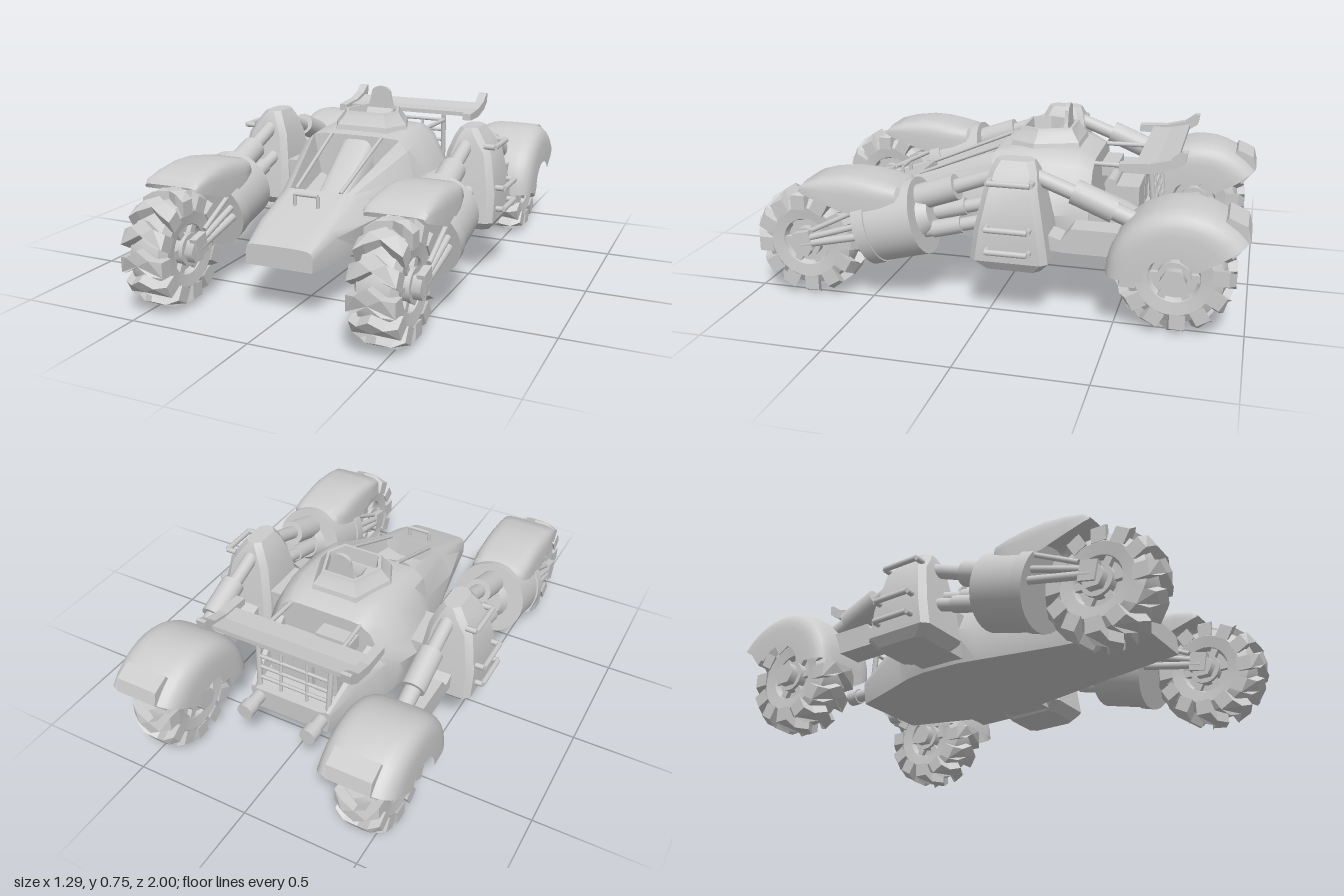
import * as THREE from 'three';
import { toCreasedNormals } from 'three/addons/utils/BufferGeometryUtils.js';

const mat = new THREE.MeshStandardMaterial({ color: 0xcccccc, side: THREE.DoubleSide });
const V = (x, y, z) => new THREE.Vector3(x, y, z);

function add(parent, name, geo) {
  const m = new THREE.Mesh(geo, mat);
  m.name = name;
  parent.add(m);
  return m;
}

function box(parent, name, w, h, d, x, y, z, rx = 0) {
  const m = add(parent, name, new THREE.BoxGeometry(w, h, d));
  m.position.set(x, y, z);
  m.rotation.x = rx;
  return m;
}

// Cylinder between two points
function rod(parent, name, a, b, r, r2 = r, seg = 14) {
  const p = V(...a), q = V(...b), dir = q.clone().sub(p);
  const m = add(parent, name, new THREE.CylinderGeometry(r2, r, dir.length(), seg));
  m.position.copy(p).add(q).multiplyScalar(0.5);
  m.quaternion.setFromUnitVectors(V(0, 1, 0), dir.normalize());
  return m;
}

// Bent grab bar: two legs and a bar offset from points a and b
function handle(parent, name, a, b, off, r) {
  const out = (p) => p.map((v, i) => v + off[i]);
  rod(parent, name, a, out(a), r, r, 8);
  rod(parent, name, b, out(b), r, r, 8);
  rod(parent, name, out(a), out(b), r, r, 8);
}

// Surface through rows of points; closed rows get end caps
function loft(rows, closed, crease) {
  const n = rows[0].length, idx = [], last = (rows.length - 1) * n;
  for (let i = 0; i < rows.length - 1; i++)
    for (let j = 0; j < (closed ? n : n - 1); j++) {
      const a = i * n + j, b = i * n + (j + 1) % n, c = a + n, d = b + n;
      idx.push(a, c, b, b, c, d);
    }
  if (closed)
    for (let j = 1; j < n - 1; j++) idx.push(0, j, j + 1, last, last + j + 1, last + j);
  const g = new THREE.BufferGeometry();
  g.setAttribute('position', new THREE.Float32BufferAttribute(rows.flat(2), 3));
  g.setIndex(idx);
  return toCreasedNormals(g, crease);
}

// Mirrored cross-section at z from its +x half, bottom to top
const section = (z, ...half) => [
  ...half.map(([x, y]) => [x, y, z]),
  ...half.slice().reverse().map(([x, y]) => [-x, y, z]),
];

// Side profile of [z, y] points extruded from x0 to x1
function sideExtrude(pts, x0, x1) {
  const shape = new THREE.Shape(pts.map(([z, y]) => new THREE.Vector2(-z, y)));
  const g = new THREE.ExtrudeGeometry(shape, { depth: x1 - x0, bevelEnabled: false });
  return g.rotateY(Math.PI / 2).translate(x0, 0, 0);
}

// Rounded arch of [across, up] pairs from +1 to -1; a smaller power is boxier
const arch = (power) => Array.from({ length: 17 }, (_, i) => {
  const a = (i / 16) * Math.PI, c = Math.cos(a);
  return [Math.sign(c) * Math.abs(c) ** power, Math.abs(Math.sin(a)) ** power];
});

// Chunky wheel with chevron lugs
function wheel(parent, name, x, y, z) {
  const g = new THREE.Group();
  g.name = name;
  g.position.set(x, y, z);
  parent.add(g);
  const profile = [[0.001, -0.05], [0.09, -0.05], [0.1, -0.075], [0.15, -0.082], [0.185, -0.062], [0.197, 0],
    [0.185, 0.062], [0.15, 0.082], [0.1, 0.075], [0.09, 0.05], [0.001, 0.05]].map((p) => new THREE.Vector2(...p));
  add(g, 'tyre', toCreasedNormals(new THREE.LatheGeometry(profile, 24).rotateZ(Math.PI / 2), 0.5));
  const lug = new THREE.Shape([[-0.092, -0.05], [-0.05, -0.04], [0, -0.008], [0.05, -0.04], [0.092, -0.05],
    [0.092, 0.01], [0.05, 0.02], [0, 0.052], [-0.05, 0.02], [-0.092, 0.01]].map((p) => new THREE.Vector2(...p)));
  const lugGeo = new THREE.ExtrudeGeometry(lug, { depth: 0.06, bevelEnabled: false }).translate(0, 0, 0.168);
  const p = lugGeo.attributes.position;
  for (let i = 0; i < p.count; i++)
    if (Math.abs(p.getX(i)) > 0.06) p.setZ(i, p.getZ(i) - 0.025);
  lugGeo.computeVertexNormals();
  for (let i = 0; i < 12; i++) add(g, 'treadLug', lugGeo).rotation.x = (i / 12) * Math.PI * 2;
  for (let i = 0; i < 6; i++) {
    const spoke = add(g, 'spoke', new THREE.BoxGeometry(0.14, 0.03, 0.07).translate(0, 0, 0.07));
    spoke.rotation.x = (i / 6) * Math.PI * 2;
  }
  rod(g, 'hub', [-0.085, 0, 0], [0.085, 0, 0], 0.065, 0.065, 20);
  rod(g, 'axleNut', [-0.12, 0, 0], [0.12, 0, 0], 0.05, 0.05, 6);
}

// Wheels, fenders, suspension and side pod of one side
function buildSide(s) {
  const g = new THREE.Group();
  g.name = s > 0 ? 'leftSide' : 'rightSide';
  g.scale.x = s;
  const X = 0.465;
  wheel(g, 'frontWheel', X, 0.23, 0.77);
  wheel(g, 'rearWheel', X, 0.23, -0.73);

  // Front fender: z, half width, lower and upper edge
  const front = [[0.77, 0.115, 0.462, 0.475], [0.75, 0.124, 0.452, 0.5], [0.68, 0.128, 0.428, 0.522],
    [0.58, 0.13, 0.395, 0.536], [0.5, 0.13, 0.382, 0.533], [0.42, 0.129, 0.395, 0.518], [0.36, 0.12, 0.405, 0.505], [0.34, 0.1, 0.41, 0.48]];
  add(g, 'frontFender', loft(front.map(([z, w, lo, hi]) =>
    arch(0.42).map(([u, v]) => [X + u * w, lo + (hi - lo) * v, z])), false, 0.7));

  // Rear fender swept over the wheel
  const rear = Array.from({ length: 15 }, (_, i) => {
    const t = i / 14, a = t * 2.58, reach = 0.262 + 0.052 * t * t;
    return arch(0.47).map(([u, v]) => {
      const r = 0.11 + (reach - 0.11) * v;
      return [X + u * 0.163, 0.235 + Math.sin(a) * r, -0.73 + Math.cos(a) * r];
    });
  });
  add(g, 'rearFender', loft(rear, false, 0.7));
  add(g, 'fenderLip', sideExtrude([[-0.9, 0.465], [-0.915, 0.49], [-0.985, 0.46], [-1, 0.405], [-0.94, 0.33], [-0.92, 0.36]], 0.372, 0.555));

  // Front drum and wheel fork
  rod(g, 'drum', [X, 0.313, 0.48], [X, 0.365, 0.28], 0.157, 0.157, 32);
  rod(g, 'drumRim', [X, 0.303, 0.515], [X, 0.318, 0.465], 0.164, 0.164, 32);
  rod(g, 'drumBack', [X, 0.365, 0.28], [X, 0.377, 0.24], 0.09, 0.07, 20);
  for (const k of [-1, 1]) {
    const x = X + k * 0.115;
    rod(g, 'forkArm', [x, 0.235, 0.77], [x, 0.3, 0.48], 0.016);
    rod(g, 'forkArm', [x, 0.265, 0.74], [x, 0.35, 0.48], 0.013);
    rod(g, 'forkArm', [x, 0.3, 0.72], [x, 0.41, 0.5], 0.01);
    box(g, 'axleBracket', 0.03, 0.08, 0.07, x, 0.25, 0.76, 0.22);
  }

  // Front struts
  rod(g, 'upperShock', [X, 0.435, 0.31], [X, 0.495, 0.14], 0.053, 0.053, 18);
  rod(g, 'upperShockRod', [X, 0.49, 0.16], [X, 0.56, -0.03], 0.03);
  for (const [x, y] of [[0.435, 0.375], [0.495, 0.32]]) {
    rod(g, 'lowerStrut', [x, y - 0.02, 0.3], [x, y + 0.06, 0], 0.027);
    rod(g, 'lowerSleeve', [x, y, 0.23], [x, y + 0.032, 0.11], 0.035);
  }

  // Rear struts
  rod(g, 'rearShockRod', [X, 0.575, -0.15], [X, 0.5, -0.35], 0.03);
  rod(g, 'rearShock', [X, 0.515, -0.33], [X, 0.45, -0.49], 0.05, 0.05, 18);
  rod(g, 'rearShockEnd', [X, 0.45, -0.48], [X, 0.41, -0.58], 0.035);
  add(g, 'rearLink', sideExtrude([[-0.2, 0.36], [-0.29, 0.33], [-0.33, 0.38], [-0.52, 0.38], [-0.52, 0.28], [-0.3, 0.28], [-0.2, 0.29]], 0.41, 0.52));

  // Side pod: y, inner x, outer x, back z, front z
  const pod = [[0.21, 0.38, 0.58, -0.22, 0.01], [0.25, 0.355, 0.605, -0.255, 0.055], [0.37, 0.36, 0.605, -0.238, 0.037],
    [0.53, 0.385, 0.575, -0.207, 0.004], [0.595, 0.41, 0.53, -0.193, -0.01], [0.63, 0.43, 0.505, -0.178, -0.028]];
  const c = 0.025;
  add(g, 'sidePod', loft(pod.map(([y, a, b, z0, z1]) => [[a, z0 + c], [a + c, z0], [b - c, z0], [b, z0 + c],
    [b, z1 - c], [b - c, z1], [a + c, z1], [a, z1 - c]].map(([x, z]) => [x, y, z])), true, 0.5));
  box(g, 'podMount', 0.12, 0.2, 0.2, 0.34, 0.32, -0.1);
  for (const [y, x] of [[0.56, 0.545], [0.39, 0.59], [0.3, 0.59]])
    handle(g, 'podHandle', [x, y, -0.185], [x, y, -0.02], [0.045, 0, 0], 0.012);
  return g;
}

export function createModel() {
  const model = new THREE.Group();
  model.name = 'buggy';
  model.add(buildSide(1), buildSide(-1));

  // Hull: flared lower body, upright canopy walls and a cockpit well (last two points)
  add(model, 'hull', loft([
    section(0.76, [0.14, 0.205], [0.142, 0.25], [0.137, 0.275], [0.13, 0.283], [0.11, 0.288], [0.09, 0.289], [0.05, 0.29]),
    section(0.62, [0.165, 0.205], [0.172, 0.305], [0.155, 0.335], [0.14, 0.345], [0.12, 0.35], [0.1, 0.351], [0.05, 0.352]),
    section(0.43, [0.2, 0.205], [0.22, 0.32], [0.165, 0.395], [0.145, 0.412], [0.125, 0.421], [0.11, 0.421], [0.05, 0.422]),
    section(0.42, [0.2, 0.205], [0.222, 0.32], [0.167, 0.397], [0.147, 0.415], [0.127, 0.424], [0.11, 0.36], [0.05, 0.34]),
    section(0.07, [0.275, 0.205], [0.302, 0.335], [0.262, 0.43], [0.24, 0.53], [0.197, 0.567], [0.165, 0.4], [0.08, 0.36]),
    section(0.06, [0.277, 0.205], [0.304, 0.335], [0.264, 0.43], [0.24, 0.533], [0.195, 0.57], [0.15, 0.574], [0.08, 0.576]),
    section(-0.03, [0.295, 0.205], [0.33, 0.35], [0.295, 0.425], [0.245, 0.545], [0.185, 0.585], [0.12, 0.588], [0.06, 0.59]),
    section(-0.2, [0.3, 0.205], [0.345, 0.36], [0.31, 0.43], [0.245, 0.548], [0.185, 0.588], [0.12, 0.59], [0.06, 0.59]),
    section(-0.29, [0.285, 0.205], [0.312, 0.36], [0.28, 0.43], [0.228, 0.54], [0.175, 0.578], [0.12, 0.582], [0.06, 0.584]),
    section(-0.355, [0.265, 0.205], [0.275, 0.36], [0.25, 0.43], [0.21, 0.515], [0.16, 0.548], [0.12, 0.552], [0.06, 0.552]),
  ], true, 0.65));

  // Rear hull with an open engine bay
  add(model, 'rearHull', loft([
    section(-0.345, [0.267, 0.205], [0.275, 0.38], [0.225, 0.46], [0.197, 0.46], [0.187, 0.33], [0.05, 0.33]),
    section(-0.5, [0.215, 0.205], [0.225, 0.34], [0.205, 0.395], [0.182, 0.395], [0.176, 0.31], [0.05, 0.31]),
    section(-0.64, [0.17, 0.205], [0.185, 0.29], [0.18, 0.31], [0.165, 0.31], [0.16, 0.3], [0.05, 0.3]),
  ], true, 0.5));
  box(model, 'engineBlock', 0.19, 0.13, 0.14, 0.05, 0.38, -0.47);
  box(model, 'engineCover', 0.1, 0.15, 0.1, -0.11, 0.38, -0.49);
  box(model, 'airBox', 0.16, 0.06, 0.07, -0.08, 0.47, -0.395);
  rod(model, 'enginePipe', [-0.15, 0.45, -0.42], [0.15, 0.45, -0.42], 0.025);

  // Roof hatch ring, scaled hexagons rising and folding inward
  const hex = [[-0.165, -0.1], [-0.1, -0.275], [0.1, -0.275], [0.165, -0.1], [0.115, 0.005], [-0.115, 0.005]];
  const ring = (y, k) => hex.map(([x, z]) => [x * k, y, (z + 0.135) * k - 0.135]);
  add(model, 'hatch', loft([ring(0.57, 1.06), ring(0.605, 1), ring(0.645, 0.8), ring(0.66, 0.76), ring(0.66, 0.68), ring(0.597, 0.62)], true, 0.3));

  // Gunner seat sloping up to a flared headrest
  add(model, 'hatchSeat', loft([
    section(-0.06, [0.035, 0.595], [0.035, 0.6]),
    section(-0.13, [0.045, 0.595], [0.045, 0.61]),
    section(-0.21, [0.065, 0.595], [0.065, 0.655]),
  ], true, 0.4));
  const rest = new THREE.Shape();
  rest.moveTo(-0.068, 0.6);
  rest.lineTo(0.068, 0.6);
  rest.lineTo(0.065, 0.65);
  rest.quadraticCurveTo(0.05, 0.68, 0.044, 0.725);
  rest.quadraticCurveTo(0.035, 0.748, 0, 0.749);
  rest.quadraticCurveTo(-0.035, 0.748, -0.044, 0.725);
  rest.quadraticCurveTo(-0.05, 0.68, -0.065, 0.65);
  add(model, 'headrest', new THREE.ExtrudeGeometry(rest, { depth: 0.016, bevelEnabled: false }).translate(0, 0, -0.22));

  // Driver seat reclined in the cockpit: z, half width, base y, top y
  add(model, 'driverSeat', loft([[0.35, 0.04, 0.34, 0.355], [0.3, 0.065, 0.34, 0.39], [0.18, 0.078, 0.35, 0.47], [0.06, 0.085, 0.36, 0.56]]
    .map(([z, w, lo, hi]) => arch(0.5).map(([u, v]) => [u * w, lo + (hi - lo) * v, z])), false, 0.6));
  handle(model, 'noseHandle', [-0.05, 0.375, 0.53], [0.05, 0.375, 0.53], [0, 0.055, 0], 0.008);

  // Rear wing with upturned end plates
  add(model, 'wing', sideExtrude([[-0.54, 0.575], [-0.62, 0.575], [-0.7, 0.595], [-0.7, 0.615], [-0.62, 0.597], [-0.54, 0.593]], -0.3, 0.3));
  for (const s of [-1, 1]) {
    const x = s * 0.317;
    add(model, 'wingEndPlate', sideExtrude([[-0.48, 0.568], [-0.6, 0.565], [-0.69, 0.585], [-0.735, 0.615], [-0.742, 0.658],
      [-0.725, 0.658], [-0.68, 0.625], [-0.6, 0.605], [-0.48, 0.598]], x - 0.02, x + 0.02));
    rod(model, 'windshieldBar', [s * 0.098, 0.42, 0.43], [s * 0.117, 0.575, 0.06], 0.008, 0.008, 8);
    rod(model, 'wingPost', [s * 0.16, 0.3, -0.61], [s * 0.17, 0.585, -0.58], 0.012, 0.012, 8);
    rod(model, 'wingStay', [s * 0.16, 0.54, -0.35], [s * 0.17, 0.54, -0.585], 0.01, 0.01, 8);
    rod(model, 'grilleBar', [s * 0.06, 0.3, -0.61], [s * 0.06, 0.54, -0.585], 0.007, 0.007, 8);
    rod(model, 'exhaust', [s * 0.145, 0.265, -0.6], [s * 0.145, 0.265, -0.72], 0.028);
    rod(model, 'exhaustTip', [s * 0.145, 0.265, -0.7], [s * 0.145, 0.265, -0.75], 0.035);
  }
  for (let i = 0; i < 5; i++) {
    const y = 0.34 + i * 0.05, z = -0.606 + i * 0.005;
    rod(model, 'grilleRail', [-0.165, y, z], [0.165, y, z], 0.008, 0.008, 8);
  }
  return model;
}
